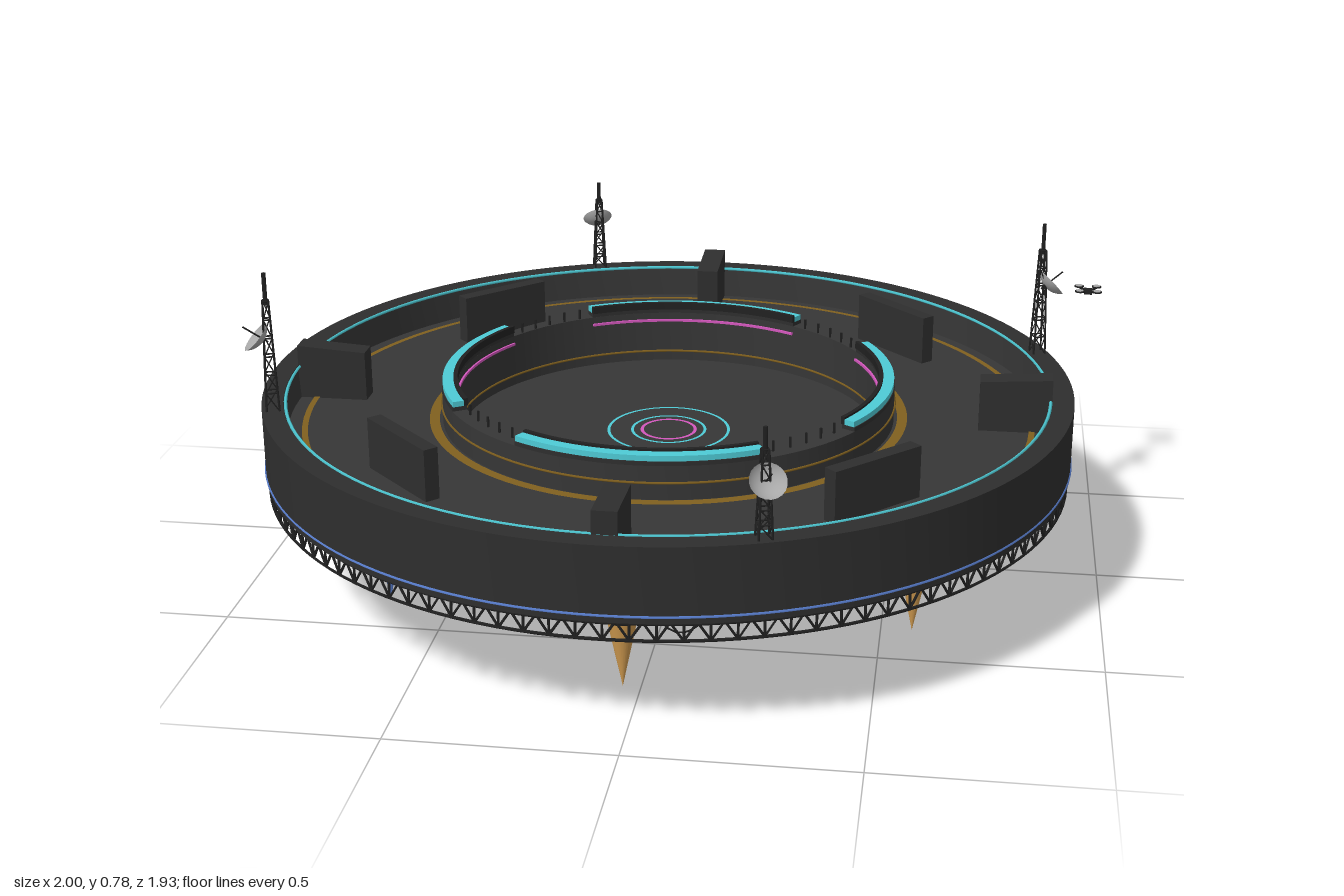
import * as THREE from 'three';
import { mergeGeometries, toCreasedNormals } from 'three/addons/utils/BufferGeometryUtils.js';

const mat = (name, color, side = THREE.FrontSide) => {
  const m = new THREE.MeshStandardMaterial({ color, side });
  m.name = name;
  return m;
};
const V = (x, y, z) => new THREE.Vector3(x, y, z);
const rad = THREE.MathUtils.degToRad;

// Thin straight rod between two points
function strut(a, b, r = 0.003) {
  const d = b.clone().sub(a);
  const g = new THREE.CylinderGeometry(r, r, d.length(), 4);
  g.applyQuaternion(new THREE.Quaternion().setFromUnitVectors(V(0, 1, 0), d.normalize()));
  return g.translate((a.x + b.x) / 2, (a.y + b.y) / 2, (a.z + b.z) / 2);
}

function lathe(points, seg = 96) {
  const g = new THREE.LatheGeometry(points.map(p => new THREE.Vector2(...p)), seg);
  return toCreasedNormals(g, rad(25));
}

// Flat ring sector of height h standing on y
function arcBand(r0, r1, y, h, mid, span) {
  const s = new THREE.Shape();
  s.absarc(0, 0, r1, mid - span / 2, mid + span / 2, false);
  s.absarc(0, 0, r0, mid + span / 2, mid - span / 2, true);
  const g = new THREE.ExtrudeGeometry(s, { depth: h, bevelEnabled: false, curveSegments: 32 });
  return toCreasedNormals(g.rotateX(-Math.PI / 2).translate(0, y, 0), rad(25));
}

const hoop = (r, y, tube = 0.003) =>
  new THREE.TorusGeometry(r, tube, 4, 128).rotateX(Math.PI / 2).translate(0, y, 0);
const flatRing = (r0, r1, y) =>
  new THREE.RingGeometry(r0, r1, 128).rotateX(-Math.PI / 2).translate(0, y, 0);

export function createModel() {
  const hull = mat('hull charcoal', 0x2e2e2e);
  const deckMat = mat('deck grey', 0x363636);
  const dark = mat('dark metal', 0x212121);
  const cyan = mat('cyan light', 0x4ecbd6);
  const gold = mat('thruster gold', 0xd29c50);
  const trim = mat('bronze trim', 0x80601f);
  const blue = mat('thruster blue', 0x5d84d8);
  const pink = mat('pink light', 0xd457bd);
  const dishMat = mat('dish grey', 0xa8a8a8, THREE.DoubleSide);

  const model = new THREE.Group();
  const station = new THREE.Group();
  station.name = 'station';
  station.position.x = -0.04;
  model.add(station);
  const add = (name, geo, m, parent = station) => {
    const mesh = new THREE.Mesh(geo, m);
    mesh.name = name;
    parent.add(mesh);
    return mesh;
  };

  // Hull shell and the recessed deck with its central pit
  add('hullShell', lathe([[0, 0.19], [0.6, 0.19], [0.605, 0.235], [0.88, 0.24], [0.9, 0.28],
    [0.96, 0.28], [0.96, 0.45], [0.91, 0.45]], 128), hull);
  add('deck', lathe([[0.91, 0.45], [0.905, 0.37], [0.54, 0.37], [0.54, 0.45], [0.505, 0.45],
    [0.505, 0.32], [0, 0.32]], 128), deckMat);
  add('hub', lathe([[0, 0.05], [0.095, 0.05], [0.095, 0.1], [0.147, 0.1], [0.147, 0.195]], 48), hull);

  // Glowing and painted rings
  add('rimLight', hoop(0.905, 0.449, 0.004), cyan);
  add('hullBlueLine', hoop(0.958, 0.295, 0.005), blue);
  add('outerDeckStripe', flatRing(0.858, 0.872, 0.373), trim);
  add('innerDeckStripe', flatRing(0.548, 0.572, 0.373), trim);
  add('parapetStripe', hoop(0.541, 0.41), trim);
  add('pitStripe', hoop(0.504, 0.345), trim);
  add('bellyStripe', hoop(0.7, 0.236), trim);
  add('padOuterRing', flatRing(0.141, 0.148, 0.323), cyan);
  add('padMiddleRing', flatRing(0.084, 0.091, 0.323), cyan);
  add('padInnerRing', flatRing(0.06, 0.068, 0.323), pink);

  // Four raised parapet arcs with light strips
  for (let k = 0; k < 4; k++) {
    const mid = k * Math.PI / 2;
    add('parapetArc', arcBand(0.505, 0.54, 0.45, 0.01, mid, rad(62)), hull);
    add('parapetLight', arcBand(0.512, 0.538, 0.46, 0.013, mid, rad(62)), cyan);
    add('parapetRail', arcBand(0.502, 0.512, 0.46, 0.018, mid, rad(62)), dark);
    add('pitLight', arcBand(0.5, 0.505, 0.427, 0.006, mid, rad(62)), pink);
    const posts = [];
    for (let i = -2; i <= 2; i++) {
      const a = mid + Math.PI / 4 + i * rad(5);
      posts.push(strut(V(0.51 * Math.cos(a), 0.45, -0.51 * Math.sin(a)),
        V(0.51 * Math.cos(a), 0.475, -0.51 * Math.sin(a))));
    }
    add('gapPosts', mergeGeometries(posts), dark);
  }

  // Deck slabs: radial with sloped tops on the axes, tangential on the diagonals
  for (let k = 0; k < 8; k++) {
    const radial = k % 2 === 0;
    const g = radial ? new THREE.BoxGeometry(0.168, 0.122, 0.055) : new THREE.BoxGeometry(0.035, 0.122, 0.245);
    g.translate(radial ? 0.824 : 0.733, 0.43, 0);
    if (radial) {
      const p = g.attributes.position;
      for (let i = 0; i < p.count; i++)
        if (p.getY(i) > 0.45 && p.getX(i) > 0.83) p.setY(i, 0.502);
      g.computeVertexNormals();
    }
    add(radial ? 'radialSlab' : 'tangentSlab', g, hull).rotation.y = k * Math.PI / 4;
  }

  // Truss skirt under the rim
  const truss = [hoop(0.952, 0.238, 0.004), hoop(0.952, 0.276, 0.004)];
  const bays = 108;
  const at = (i, y) => V(0.952 * Math.cos(i / bays * 2 * Math.PI), y, 0.952 * Math.sin(i / bays * 2 * Math.PI));
  for (let i = 0; i < bays; i++) {
    truss.push(strut(at(i, 0.238), at(i + 0.5, 0.28)), strut(at(i + 0.5, 0.28), at(i + 1, 0.238)));
    truss.push(strut(at(i, 0.238), at(i, 0.28)));
  }
  add('trussSkirt', mergeGeometries(truss), dark);

  // Six thrusters, two opposite ones blue
  for (let k = 0; k < 6; k++) {
    const t = new THREE.Group();
    t.name = 'thruster';
    const a = rad(30 + 60 * k);
    t.position.set(0.705 * Math.cos(a), 0, -0.705 * Math.sin(a));
    add('thrusterHousing', lathe([[0, 0.162], [0.036, 0.162], [0.036, 0.185], [0.043, 0.19],
      [0.043, 0.24]], 24), dark, t);
    add('thrusterCone', new THREE.ConeGeometry(0.034, 0.165, 24).rotateX(Math.PI).translate(0, 0.0825, 0),
      k % 3 === 0 ? blue : gold, t);
    station.add(t);
  }

  // Sagging cables under the belly
  let seed = 7;
  const rnd = () => (seed = (seed * 16807) % 2147483647) / 2147483647;
  const cables = [];
  for (let i = 0; i < 30; i++) {
    const a = (i + rnd() * 0.6) * Math.PI / 15, b = a + 0.15 + rnd() * 0.2;
    const r0 = 0.62 + rnd() * 0.2, r1 = 0.62 + rnd() * 0.2, low = 0.04 + rnd() * 0.11;
    const m = (a + b) / 2, rm = (r0 + r1) / 2;
    const curve = new THREE.QuadraticBezierCurve3(
      V(r0 * Math.cos(a), 0.24, r0 * Math.sin(a)),
      V(rm * Math.cos(m), low, rm * Math.sin(m)),
      V(r1 * Math.cos(b), 0.24, r1 * Math.sin(b)));
    cables.push(new THREE.TubeGeometry(curve, 14, 0.0025, 4));
  }
  add('cables', mergeGeometries(cables), dark);

  // Four lattice masts with dishes, alternating tall and short
  for (let k = 0; k < 4; k++) {
    const tall = k % 2 === 0, h = tall ? 0.33 : 0.24, dishY = tall ? 0.18 : 0.135;
    const mast = new THREE.Group();
    mast.name = 'antennaMast';
    const a = rad(20 + 90 * k);
    mast.position.set(0.934 * Math.cos(a), 0.45, -0.934 * Math.sin(a));
    mast.rotation.y = a;
    const top = h * 0.8, levels = 6, rods = [];
    const corner = (c, l) => {
      const w = 0.016 - 0.009 * l / levels, q = c * Math.PI / 2 + Math.PI / 4;
      return V(w * 1.3 * Math.cos(q), top * l / levels, w * 1.3 * Math.sin(q));
    };
    for (let c = 0; c < 4; c++) {
      rods.push(strut(corner(c, 0), corner(c, levels), 0.0025));
      for (let l = 0; l < levels; l++) {
        rods.push(strut(corner(c, l + 1), corner(c + 1, l + 1), 0.002));
        rods.push(strut(corner(c + l % 2, l), corner(c + 1 - l % 2, l + 1), 0.0015));
      }
    }
    rods.push(strut(V(0, top - 0.01, 0), V(0, h, 0), 0.005));
    rods.push(strut(V(0, dishY - 0.015, 0), V(0.055, dishY + 0.025, 0), 0.002));
    add('mastLattice', mergeGeometries(rods), dark, mast);
    const dish = add('dish', new THREE.SphereGeometry(0.05, 20, 8, 0, Math.PI * 2, 0, rad(52)), dishMat, mast);
    dish.rotation.z = rad(132);
    dish.position.set(0.05, dishY + 0.02, 0);
    station.add(mast);
  }

  // Small four-rotor drone beside the rim
  const drone = new THREE.Group();
  drone.name = 'drone';
  drone.position.set(0.965, 0.54, -0.55);
  add('droneBody', new THREE.BoxGeometry(0.02, 0.012, 0.02), dark, drone);
  for (const x of [-1, 1]) for (const z of [-1, 1]) {
    add('droneArm', strut(V(0, 0, 0), V(x * 0.022, 0.003, z * 0.022)), dark, drone);
    add('droneRotor', new THREE.CylinderGeometry(0.012, 0.012, 0.003, 12)
      .translate(x * 0.022, 0.006, z * 0.022), dark, drone);
    add('rotorCap', new THREE.CylinderGeometry(0.009, 0.009, 0.002, 12)
      .translate(x * 0.022, 0.008, z * 0.022), dishMat, drone);
  }
  model.add(drone);
  return model;
}
